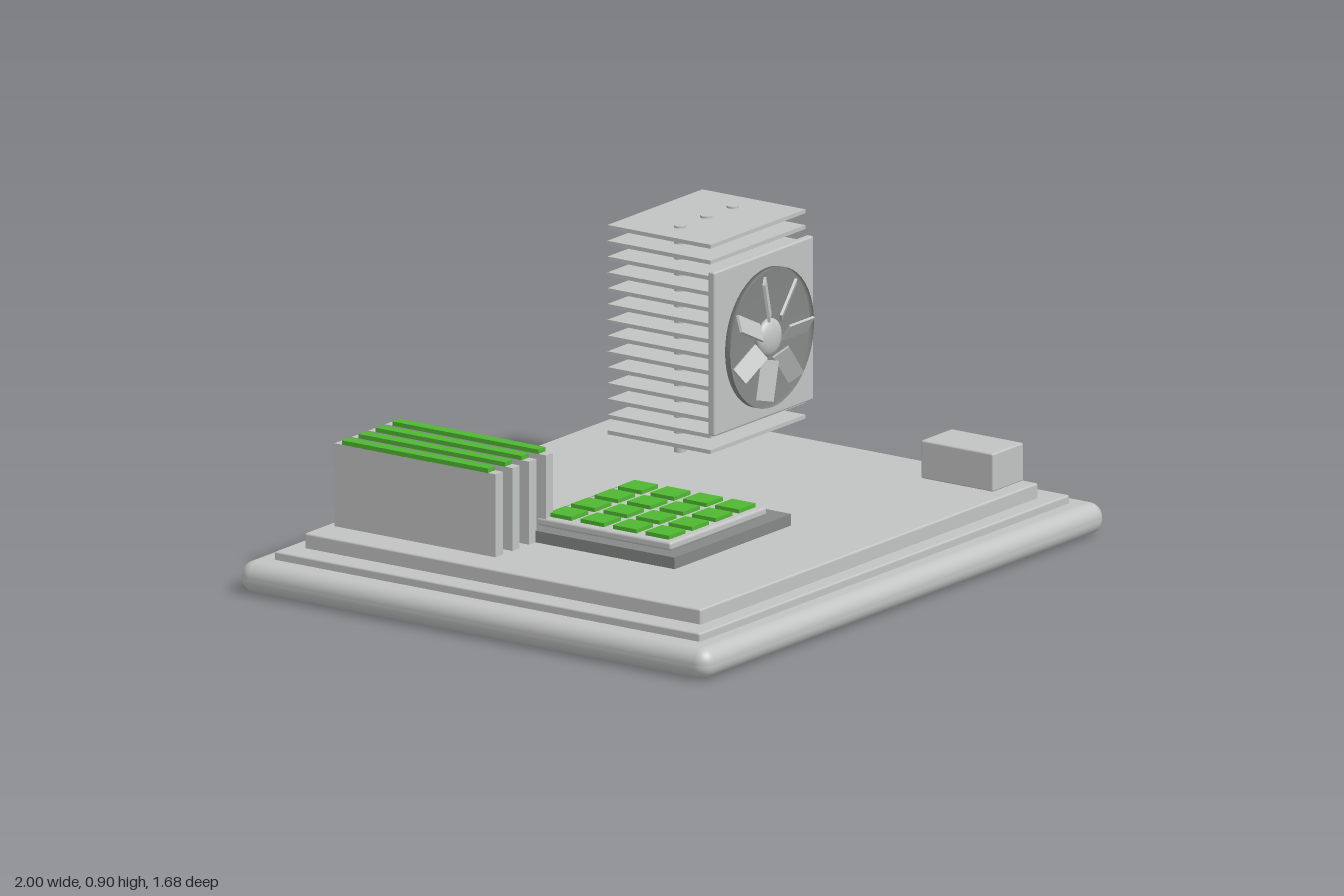
import * as THREE from 'three';
import { RoundedBoxGeometry } from 'three/addons/geometries/RoundedBoxGeometry.js';

const mat = (name, color, side = THREE.FrontSide) => {
  const m = new THREE.MeshStandardMaterial({ color, side });
  m.name = name;
  return m;
};

export function createModel() {
  const light = mat('lightGrey', 0xc2c4c3);
  const dark = mat('darkGrey', 0x858886, THREE.DoubleSide);
  const green = mat('green', 0x50b832);

  const root = new THREE.Group();
  root.name = 'circuitBoard';
  const group = (name) => {
    const g = new THREE.Group();
    g.name = name;
    root.add(g);
    return g;
  };
  const add = (parent, name, geometry, material, x = 0, y = 0, z = 0) => {
    const mesh = new THREE.Mesh(geometry, material);
    mesh.name = name;
    mesh.position.set(x, y, z);
    parent.add(mesh);
    return mesh;
  };
  // Box given by its extents on each axis, with optional edge rounding
  const box = (parent, name, material, [x0, x1], [y0, y1], [z0, z1], r = 0) => {
    const size = [x1 - x0, y1 - y0, z1 - z0];
    const geo = r ? new RoundedBoxGeometry(...size, r > 0.02 ? 5 : 2, r) : new THREE.BoxGeometry(...size);
    return add(parent, name, geo, material, (x0 + x1) / 2, (y0 + y1) / 2, (z0 + z1) / 2);
  };

  // Stepped base
  const base = group('base');
  box(base, 'bottomSlab', light, [-1, 1], [0, 0.095], [-0.84, 0.84], 0.044);
  box(base, 'middleStep', light, [-0.92, 0.92], [0.08, 0.12], [-0.76, 0.76], 0.006);
  box(base, 'board', light, [-0.84, 0.84], [0.115, 0.165], [-0.71, 0.705], 0.006);

  // Processor: socket, chip and a 4 x 4 grid of tiles
  const processor = group('processor');
  box(processor, 'socket', dark, [-0.53, 0.05], [0.163, 0.2], [-0.19, 0.39]);
  box(processor, 'chip', light, [-0.48, 0], [0.199, 0.225], [-0.14, 0.34], 0.008);
  for (let i = 0; i < 4; i++) {
    for (let j = 0; j < 4; j++) {
      const x = -0.24 + (i - 1.5) * 0.116, z = 0.1 + (j - 1.5) * 0.116;
      box(processor, 'tile', green, [x - 0.042, x + 0.042], [0.224, 0.237], [z - 0.042, z + 0.042]);
    }
  }

  // Memory sticks with green caps
  const memory = group('memory');
  for (let i = 0; i < 4; i++) {
    const x = -0.711 + i * 0.0837;
    box(memory, 'memoryStick', light, [x - 0.018, x + 0.018], [0.163, 0.415], [-0.682, -0.107]);
    box(memory, 'memoryCap', green, [x - 0.018, x + 0.018], [0.414, 0.428], [-0.656, -0.134]);
  }

  // Cooling tower: stacked fins on three pipes
  const cooler = group('cooler');
  for (let i = 0; i < 14; i++) {
    const y = 0.265 + i * 0.0476;
    box(cooler, 'fin', light, [0.264, 0.736], [y - 0.006, y + 0.006], [-0.42, -0.052]);
  }
  for (const x of [0.369, 0.5, 0.631]) {
    add(cooler, 'pipe', new THREE.CylinderGeometry(0.018, 0.018, 0.682, 24), light, x, 0.555, -0.236);
  }

  // Fan on the front of the tower
  const fan = group('fan');
  fan.position.set(0.498, 0.565, 0);
  box(fan, 'fanFrame', light, [-0.247, 0.247], [-0.247, 0.247], [-0.052, -0.028], 0.006);
  const axle = add(fan, 'axle', new THREE.CylinderGeometry(0.057, 0.057, 0.016, 32), dark, 0, 0, -0.024);
  axle.rotation.x = Math.PI / 2;
  // Shallow dish with a softly shaded floor
  const profile = [[0, -0.018], [0.209, -0.018], [0.209, 0]].map((p) => new THREE.Vector2(...p));
  const dish = add(fan, 'dish', new THREE.LatheGeometry(profile, 48), dark);
  dish.rotation.x = Math.PI / 2;
  const hub = add(fan, 'hub', new THREE.SphereGeometry(0.057, 32, 16), light, 0, 0, -0.012);
  hub.scale.z = 0.4;
  for (let i = 0; i < 7; i++) {
    const spoke = new THREE.Group();
    spoke.name = 'blade';
    spoke.rotation.z = (i / 7) * Math.PI * 2;
    fan.add(spoke);
    const blade = add(spoke, 'bladePlate', new THREE.BoxGeometry(0.12, 0.056, 0.008), light, 0.125, 0, 0.002);
    blade.rotation.x = 0.55;
  }

  // Connector block with two ports on its outer side
  const connector = group('connector');
  box(connector, 'connectorBody', light, [0.685, 0.838], [0.163, 0.279], [0.397, 0.655], 0.006);
  for (const z of [0.474, 0.58]) {
    box(connector, 'port', dark, [0.83, 0.852], [0.19, 0.255], [z - 0.037, z + 0.037]);
  }

  return root;
}
